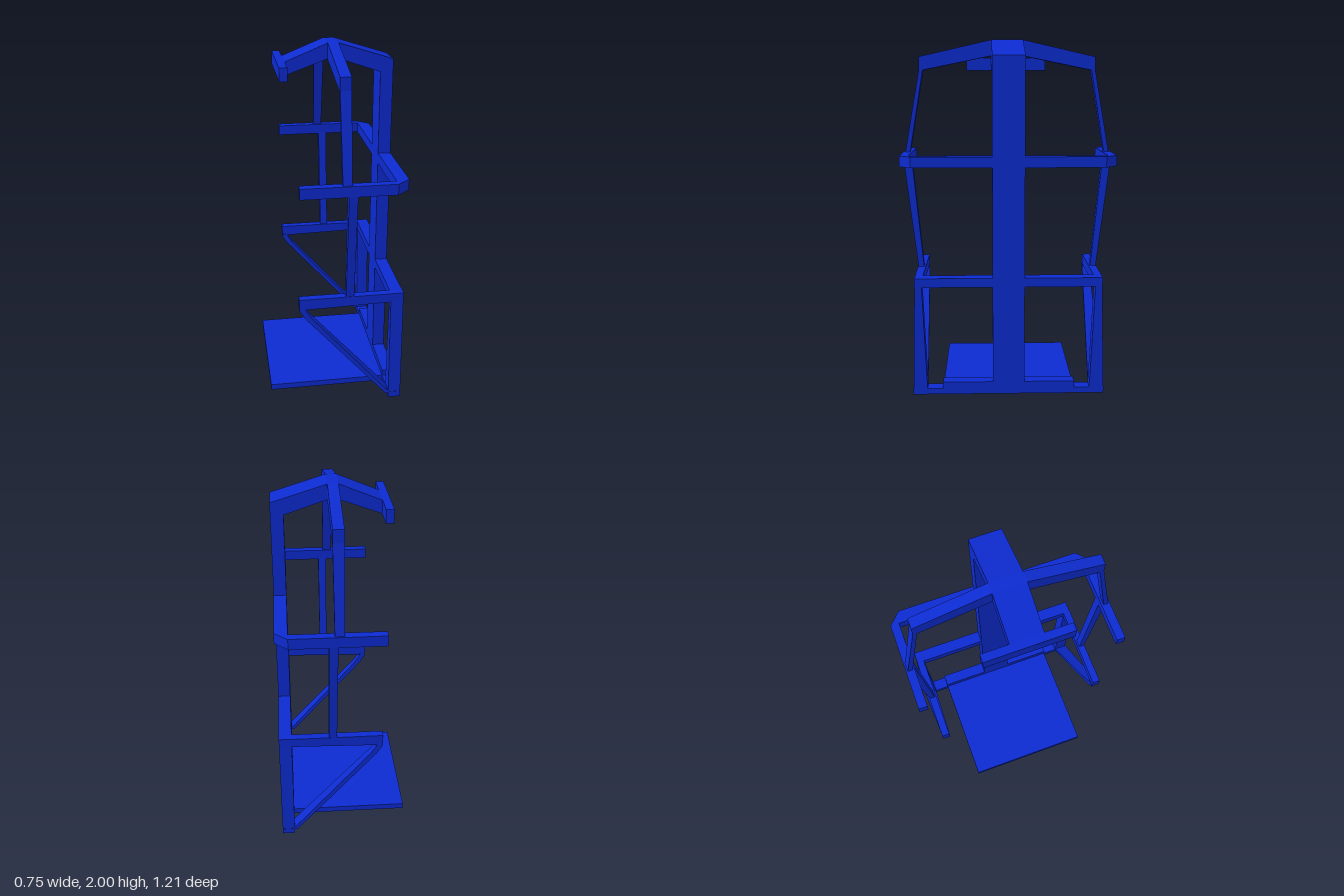
import * as THREE from 'three';

const material = new THREE.MeshStandardMaterial({ color: 0x0d2bd0, flatShading: true });

export function createModel() {
  const model = new THREE.Group();

  const add = (name, geometry) => {
    const mesh = new THREE.Mesh(geometry, material);
    mesh.name = name;
    model.add(mesh);
    return mesh;
  };

  // Box given by its limits on each axis
  const box = (name, [x0, x1], [y0, y1], [z0, z1]) =>
    add(name, new THREE.BoxGeometry(x1 - x0, y1 - y0, z1 - z0)
      .translate((x0 + x1) / 2, (y0 + y1) / 2, (z0 + z1) / 2));

  // Profile extruded symmetrically about its own plane
  const slab = (points, depth) =>
    new THREE.ExtrudeGeometry(new THREE.Shape(points.map(p => new THREE.Vector2(...p))),
      { depth, bevelEnabled: false }).translate(0, 0, -depth / 2);

  // Upright with different rectangles [x0, x1, z0, z1] at its two ends
  const taperedBar = (name, side, y0, bottom, y1, top) => {
    const g = new THREE.BoxGeometry(1, 1, 1);
    const p = g.attributes.position;
    for (let i = 0; i < p.count; i++) {
      const [x0, x1, z0, z1] = p.getY(i) > 0 ? top : bottom;
      p.setXYZ(i,
        (x0 + x1) / 2 + p.getX(i) * (x1 - x0),
        p.getY(i) > 0 ? y1 : y0,
        side * (z0 + z1) / 2 + p.getZ(i) * (z1 - z0));
    }
    g.computeVertexNormals();
    add(name, g);
  };

  // Base: floor plate, rear sill and its raised strip
  box('floorPlate', [-0.375, 0.3], [0, 0.035], [-0.375, 0.375]);
  box('rearSill', [0.3, 0.372], [0, 0.035], [-0.545, 0.545]);
  box('sillStrip', [0.3, 0.372], [0.035, 0.072], [-0.375, 0.375]);

  // Column with the cranked overhead beam, one continuous profile
  add('columnAndBeam', slab([
    [0.3, 0], [0.372, 0], [0.372, 1.905], [0.065, 2], [0.005, 2], [-0.23, 1.905],
    [-0.23, 1.83], [0.005, 1.915], [0.065, 1.915], [0.3, 1.835],
  ], 0.18));
  box('signBoard', [-0.275, -0.23], [1.83, 1.905], [-0.24, 0.24]);

  // Roof arch running from side to side
  add('roofArch', slab([
    [-0.506, 1.83], [-0.483, 1.83], [-0.09, 1.91], [0.09, 1.91], [0.483, 1.83],
    [0.506, 1.83], [0.506, 1.905], [0.09, 2], [-0.09, 2], [-0.506, 1.905],
  ], 0.06).rotateY(-Math.PI / 2).translate(0.035, 0, 0));

  // Upper rail: open at the front end, chamfered at the rear corners
  add('upperRail', slab([
    [-0.215, 0.603], [0.3, 0.603], [0.372, 0.535], [0.372, -0.535], [0.3, -0.603],
    [-0.215, -0.603], [-0.215, -0.553], [0.3, -0.553], [0.3, 0.553], [-0.215, 0.553],
  ], 0.06).rotateX(Math.PI / 2).translate(0, 1.332, 0));

  // Lower rail, rear bar
  box('lowerRailBack', [0.3, 0.372], [0.63, 0.682], [-0.528, 0.528]);

  for (const side of [1, -1]) {
    const label = side > 0 ? 'Left' : 'Right';

    // Lower rail arm
    add('lowerRailArm' + label, slab([
      [-0.215, 0.617], [0.3, 0.63], [0.3, 0.682], [-0.215, 0.682],
    ], 0.045).translate(0, 0, side * 0.507));

    // Uprights
    taperedBar('rearPost' + label, side, 0.03, [0.3, 0.372, 0.463, 0.543],
      0.635, [0.3, 0.372, 0.488, 0.527]);
    taperedBar('lowerPost' + label, side, 0.67, [0.045, 0.09, 0.493, 0.526],
      1.31, [0.042, 0.09, 0.553, 0.601]);
    taperedBar('upperPost' + label, side, 1.35, [0.01, 0.06, 0.567, 0.595],
      1.84, [0.005, 0.065, 0.483, 0.505]);

    // Diagonal brace, widening toward its foot
    const brace = slab([
      [-0.215, 0.625], [-0.215, 0.612], [-0.183, 0.56], [0.282, 0.03],
      [0.31, 0.03], [-0.146, 0.56], [-0.18, 0.612], [-0.18, 0.625],
    ], 1);
    const p = brace.attributes.position;
    for (let i = 0; i < p.count; i++) {
      const width = 0.045 + 0.035 * (p.getX(i) + 0.215) / 0.515;
      p.setZ(i, side * 0.505 + p.getZ(i) * width);
    }
    brace.computeVertexNormals();
    add('diagonalBrace' + label, brace);
  }

  return model;
}
